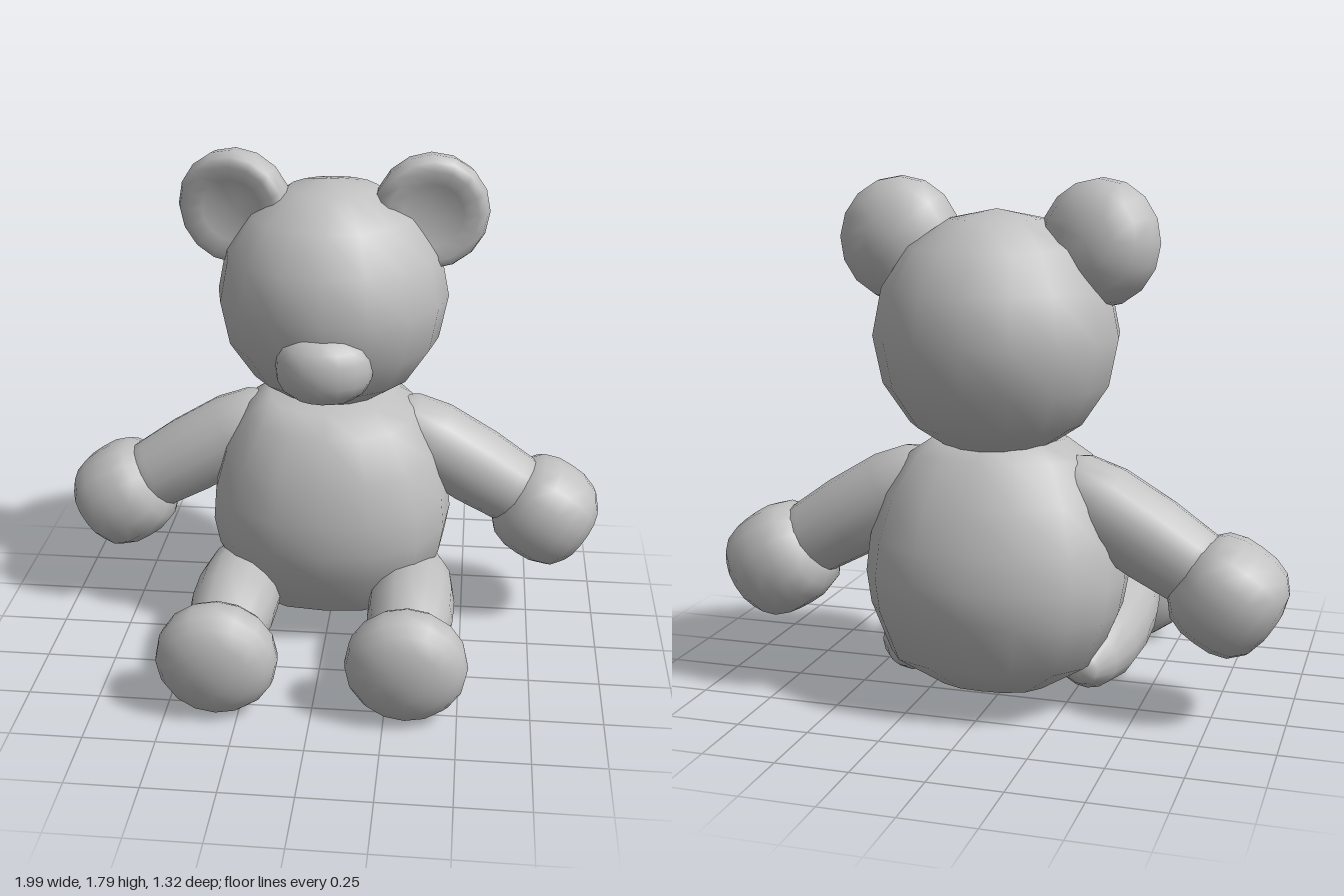
import * as THREE from 'three';
import { mergeVertices } from 'three/addons/utils/BufferGeometryUtils.js';

const SEGMENTS = 16;
const UP = new THREE.Vector3(0, 1, 0);

// Weld seams so the low-poly surfaces shade smoothly
function smooth(geometry) {
  geometry.deleteAttribute('uv');
  geometry.deleteAttribute('normal');
  const welded = mergeVertices(geometry, 1e-4);
  welded.computeVertexNormals();
  return welded;
}

// Turned shape from [radius, height] points; n above 2 makes its cross-section squarer
function turned(profile, n = 2) {
  const geometry = new THREE.LatheGeometry(profile.map(([r, y]) => new THREE.Vector2(r, y)), SEGMENTS);
  const p = geometry.attributes.position;
  for (let i = 0; i < p.count; i++) {
    const x = p.getX(i), z = p.getZ(i), r = Math.hypot(x, z);
    if (r < 1e-6) continue;
    const k = Math.pow(Math.pow(Math.abs(x / r), n) + Math.pow(Math.abs(z / r), n), -1 / n);
    p.setXYZ(i, x * k, p.getY(i), z * k);
  }
  return smooth(geometry);
}

// Ball with squarer shoulders as n rises above 2; its axis is y
function puffy(rx, ry, rz, n, crossN = 2) {
  const profile = [];
  for (let i = 0; i <= 10; i++) {
    const a = Math.PI * i / 10, r = Math.sin(a), y = -Math.cos(a);
    const k = Math.pow(Math.pow(r, n) + Math.pow(Math.abs(y), n), -1 / n);
    profile.push([r * k, y * k]);
  }
  return turned(profile, crossN).scale(rx, ry, rz);
}

export function createModel() {
  const bear = new THREE.Group();
  bear.name = 'teddyBear';
  const plush = new THREE.MeshStandardMaterial({ color: 0xc0c0c0 });
  plush.name = 'grey plush';

  function add(name, geometry, position, axis) {
    const mesh = new THREE.Mesh(geometry, plush);
    mesh.name = name;
    mesh.position.set(...position);
    if (axis) mesh.quaternion.setFromUnitVectors(UP, new THREE.Vector3(...axis).normalize());
    bear.add(mesh);
    return mesh;
  }

  // Body: squarish egg leaning slightly forward
  const body = add('body', turned([
    [0, -0.44], [0.19, -0.42], [0.355, -0.32], [0.425, -0.15], [0.443, -0.04], [0.432, 0.08],
    [0.39, 0.23], [0.305, 0.37], [0.22, 0.43], [0, 0.45],
  ], 2.5), [0, 0.49, -0.228]);
  body.scale.z = 0.92;
  body.rotation.x = 0.09;

  // Head and muzzle
  add('head', smooth(new THREE.SphereGeometry(0.415, SEGMENTS, 8)), [0, 1.275, -0.245]);
  add('muzzle', puffy(0.17, 0.127, 0.14, 2.5), [0, 1.113, 0.08]);

  const armProfile = [[0, 0], [0.075, 0.03], [0.12, 0.1], [0.145, 0.22], [0.147, 0.42], [0.137, 0.56], [0.13, 0.67], [0, 0.69]];
  const legProfile = [[0, 0], [0.055, 0.02], [0.105, 0.1], [0.143, 0.24], [0.156, 0.4], [0.153, 0.56], [0.128, 0.75], [0, 0.8]];
  // Ear: domed back, thick rounded rim, shallow dish in front
  const earProfile = [
    [0, -0.13], [0.09, -0.122], [0.16, -0.085], [0.198, -0.025], [0.205, 0.025],
    [0.19, 0.058], [0.16, 0.072], [0.11, 0.058], [0, 0.035],
  ];

  for (const [side, s] of [['left', 1], ['right', -1]]) {
    const ear = add(side + 'Ear', turned(earProfile), [s * 0.343, 1.585, -0.242]);
    ear.rotation.set(Math.PI / 2 + 0.1, 0, -s * 0.14);
    ear.scale.z = 1.03;

    add(side + 'Arm', turned(armProfile), [s * 0.18, 0.83, -0.25], [s * 0.57, -0.35, 0]);
    add(side + 'Hand', puffy(0.19, 0.178, 0.195, 2.8, 2.3), [s * 0.798, 0.44, -0.255], [s * 0.84, -0.55, 0]);

    add(side + 'Leg', turned(legProfile), [s * 0.32, 0.158, -0.35], [0, 0.07, 0.8]);
    add(side + 'Foot', puffy(0.21, 0.13, 0.206, 2.4), [s * 0.323, 0.21, s > 0 ? 0.515 : 0.53], [0, -0.1, 1]);
  }
  return bear;
}
